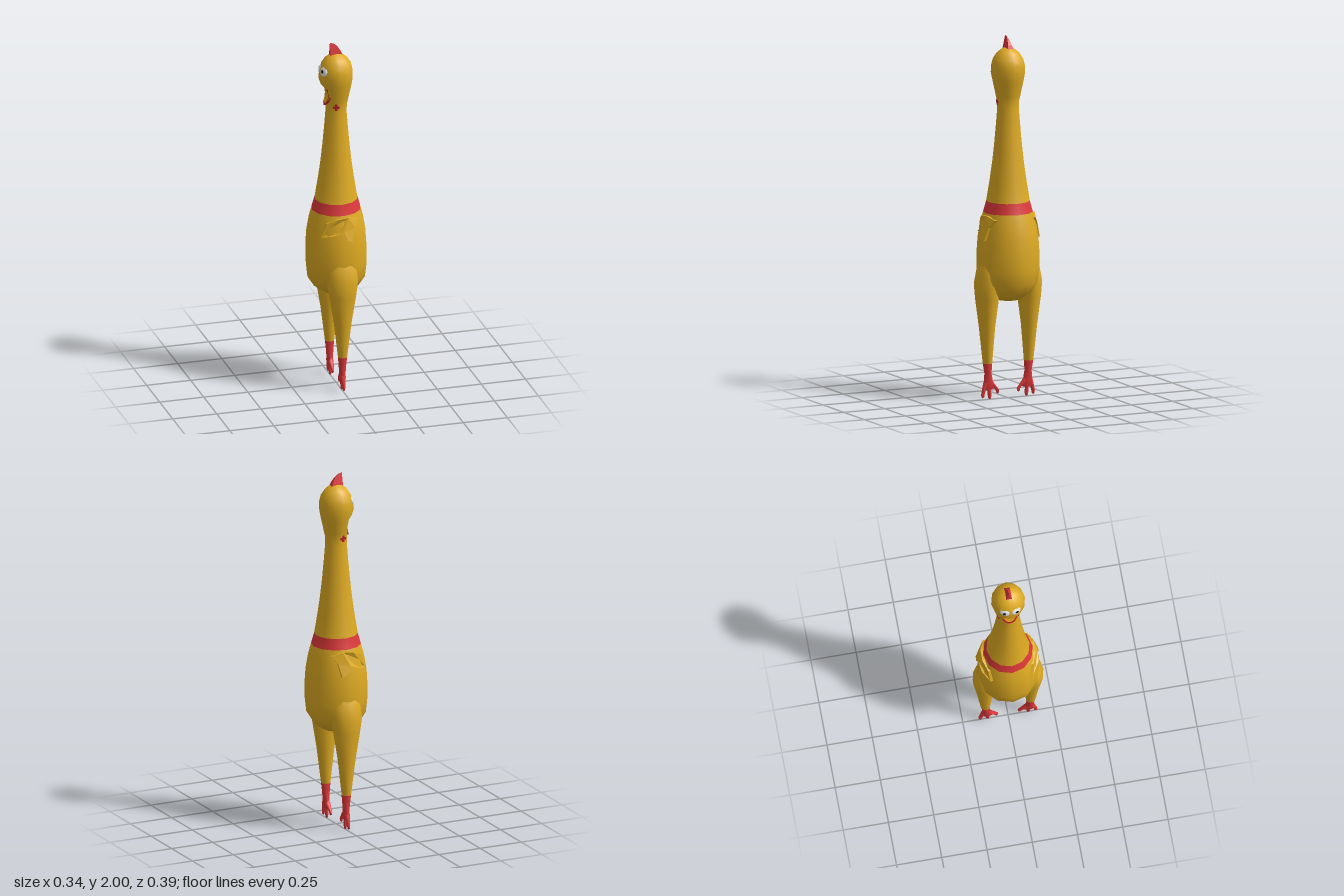
import * as THREE from 'three';

const mat = (name, color, side = THREE.FrontSide) => {
  const m = new THREE.MeshStandardMaterial({ color, side });
  m.name = name;
  return m;
};

// Smooth skin over elliptical rings listed from top to bottom: [y, centreZ, radiusX, radiusZ]
function loft(rings, seg = 12) {
  const pos = [], idx = [];
  for (const [y, cz, rx, rz] of rings)
    for (let k = 0; k < seg; k++) {
      const a = (k / seg) * Math.PI * 2;
      pos.push(rx * Math.cos(a), y, cz + rz * Math.sin(a));
    }
  for (let i = 0; i < rings.length - 1; i++)
    for (let k = 0; k < seg; k++) {
      const a = i * seg + k, b = i * seg + (k + 1) % seg;
      idx.push(a, b, a + seg, b, b + seg, a + seg);
    }
  const g = new THREE.BufferGeometry();
  g.setAttribute('position', new THREE.Float32BufferAttribute(pos, 3));
  g.setIndex(idx);
  g.computeVertexNormals();
  return g;
}

// Move every vertex of a geometry by a rule
function warp(g, rule) {
  const p = g.attributes.position, v = new THREE.Vector3();
  for (let i = 0; i < p.count; i++) {
    rule(v.fromBufferAttribute(p, i));
    p.setXYZ(i, v.x, v.y, v.z);
  }
  return g;
}

const outline = pts => new THREE.Shape(pts.map(([x, y]) => new THREE.Vector2(x, y)));

// Hollow of the open mouth on the -x face
const hollowX = y => -0.05 - 0.015 * ((y - 1.7) / 0.055) ** 2;

export function createModel() {
  const model = new THREE.Group();
  model.name = 'rubberChicken';
  const yellow = mat('yellow skin', 0xdfab22);
  const red = mat('red', 0xe0383a);
  const darkRed = mat('mouth red', 0xb81c2c, THREE.DoubleSide);
  const orange = mat('tongue orange', 0xffb41e, THREE.DoubleSide);
  const white = mat('eye white', 0xe6e6e6);
  const black = mat('pupil black', 0x101010, THREE.DoubleSide);

  const add = (name, geo, material, parent = model) => {
    const m = new THREE.Mesh(geo, material);
    m.name = name;
    parent.add(m);
    return m;
  };

  // Body, neck and head in one turned skin, with the collar as a red band
  const profile = [[0, 0.54], [0.07, 0.547], [0.125, 0.583], [0.162, 0.64], [0.171, 0.72], [0.172, 0.8],
    [0.166, 0.89], [0.152, 0.97], [0.136, 1.03], [0.119, 1.09], [0.101, 1.2], [0.087, 1.3], [0.076, 1.4],
    [0.067, 1.5], [0.059, 1.6], [0.061, 1.645], [0.067, 1.67], [0.073, 1.7], [0.081, 1.735], [0.087, 1.765],
    [0.093, 1.8], [0.092, 1.84], [0.083, 1.875], [0.062, 1.908], [0.032, 1.932], [0, 1.94]];
  const skin = new THREE.LatheGeometry(profile.map(([r, y]) => new THREE.Vector2(r, y)), 12);
  const spans = profile.length - 1;
  for (let i = 0; i < 12; i++)
    for (let j = 0; j < spans; j++)
      skin.addGroup((i * spans + j) * 6, 6, profile[j][1] === 1.03 ? 1 : 0);
  warp(skin, v => {
    if (v.y > 1.65 && v.y < 1.76) v.x = Math.max(v.x, hollowX(v.y));
    if (v.y > 1.78 && v.y < 1.82 && v.x < 0) v.x *= 1.06;
  });
  add('bodyNeckAndHead', skin, [yellow, red]);

  // Mouth: red rim with an orange tongue, curved to the hollow
  const oval = (ry, rz, gap) => warp(new THREE.RingGeometry(0, 1, 24, 4), v => {
    const y = 1.7 + v.y * ry, z = v.x * rz;
    v.set(hollowX(y) - gap + Math.max(0, Math.abs(z) - 0.03) * 0.5, y, z);
  });
  for (const [name, ry, rz, gap, m] of [['mouth', 0.06, 0.047, 0.002, darkRed], ['tongue', 0.048, 0.033, 0.005, orange]]) {
    const g = oval(ry, rz, gap);
    g.computeVertexNormals();
    add(name, g, m);
  }

  // Comb: a fin that narrows to a sharp top
  const comb = new THREE.ExtrudeGeometry(outline([[-0.035, 1.925], [0.034, 1.925], [0.024, 1.95],
    [0.008, 1.975], [-0.012, 1.993], [-0.035, 2]]), { depth: 0.034, bevelEnabled: false });
  warp(comb, v => { v.z = (v.z - 0.017) * Math.min(1, (2 - v.y) / 0.07); });
  comb.computeVertexNormals();
  add('comb', comb, red);

  // Wing plate wrapped round the body
  const wing = new THREE.ExtrudeGeometry(outline([[-0.12, 0.91], [-0.06, 0.925], [-0.005, 0.945], [0.015, 0.9],
    [0.045, 0.885], [0.062, 0.96], [0.09, 1], [0.03, 1.02], [-0.03, 1.015], [-0.09, 0.99]]),
  { depth: 0.02, bevelEnabled: false });
  warp(wing, v => {
    const r = 0.168 - 0.2 * (v.y - 0.88);
    v.z += Math.sqrt(r * r - v.x * v.x) - 0.01;
  });
  wing.computeVertexNormals();

  // Ragged pupil
  const star = new THREE.ShapeGeometry(outline(Array.from({ length: 20 }, (_, i) => {
    const r = i % 2 ? 0.007 : 0.013, a = i * Math.PI / 10;
    return [r * Math.cos(a), r * Math.sin(a)];
  })));

  for (const s of [1, -1]) {
    const side = s > 0 ? 'front' : 'back';

    const w = add(side + 'Wing', wing, yellow);
    w.scale.z = s;

    // Eye: flattened ball set into the head, looking along the skin
    const eye = new THREE.Group();
    eye.name = side + 'Eye';
    eye.position.set(-0.077, 1.847, s * 0.031);
    eye.lookAt(-0.077 - 0.85, 1.847 + 0.28, s * (0.031 + 0.33));
    add('eyeball', new THREE.SphereGeometry(0.028, 16, 12), white, eye).scale.z = 0.4;
    add('pupil', star, black, eye).position.z = 0.0125;
    model.add(eye);

    // Small cross-shaped ear mark
    for (const [a, b] of [[0.036, 0.013], [0.013, 0.036]]) {
      const mark = add(side + 'EarMark', new THREE.BoxGeometry(a, b, 0.009), darkRed);
      mark.position.set(-0.015, 1.64, s * 0.056);
      mark.rotation.y = -s * 0.26;
    }

    // Leg: full thigh tapering to the ankle
    const rings = list => list.map(([y, cz, rx, rz]) => [y, s * cz, rx, rz]);
    add(side + 'Leg', loft(rings([[0.83, 0.1, 0, 0], [0.8, 0.102, 0.05, 0.045], [0.72, 0.115, 0.085, 0.064],
      [0.64, 0.128, 0.089, 0.067], [0.56, 0.128, 0.077, 0.062], [0.4, 0.128, 0.05, 0.043],
      [0.2, 0.125, 0.026, 0.026]])), yellow);

    // Webbed foot with three toes hanging down
    add(side + 'Foot', loft(rings([[0.2, 0.125, 0.026, 0.026], [0.145, 0.122, 0.021, 0.019],
      [0.1, 0.12, 0.017, 0.027], [0.06, 0.117, 0.012, 0.035], [0.045, 0.116, 0, 0]])), red);
    for (const [z0, z1, tip] of [[0.138, 0.153, 0.008], [0.118, 0.112, 0], [0.098, 0.064, 0.028]])
      add(side + 'Toe', loft(rings([[0.11, z0, 0, 0], [0.09, z0, 0.015, 0.011],
        [tip + 0.02, z1, 0.008, 0.011], [tip + 0.006, z1, 0.006, 0.008], [tip, z1, 0, 0]]), 8), red);
  }
  return model;
}
